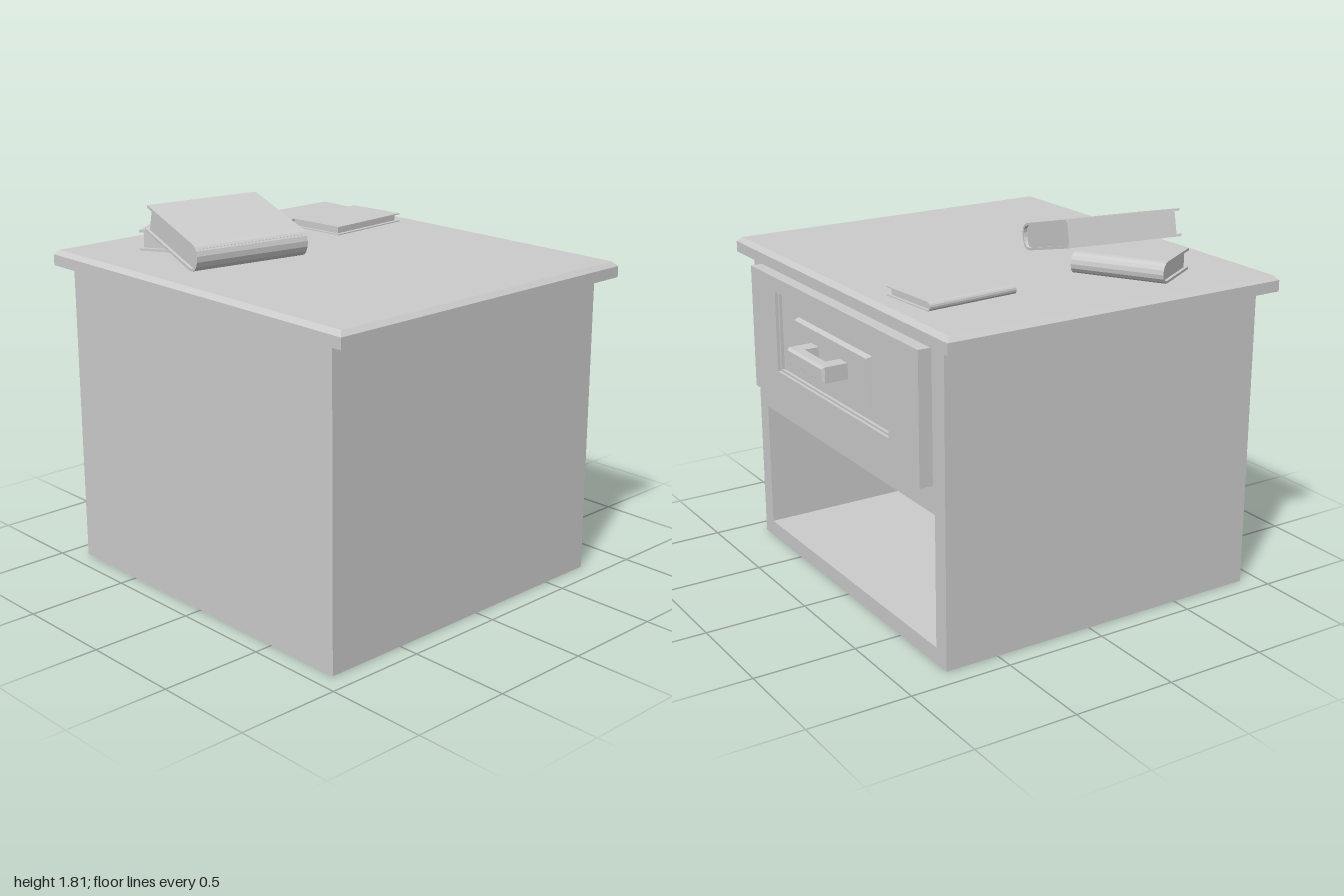
import * as THREE from 'three';

const material = new THREE.MeshStandardMaterial({ color: 0xcccccc, flatShading: true });

function add(parent, name, geometry) {
  const mesh = new THREE.Mesh(geometry, material);
  mesh.name = name;
  parent.add(mesh);
  return mesh;
}

// Box given by its lower and upper corners
function box(x0, x1, y0, y1, z0, z1) {
  return new THREE.BoxGeometry(x1 - x0, y1 - y0, z1 - z0)
    .translate((x0 + x1) / 2, (y0 + y1) / 2, (z0 + z1) / 2);
}

// Box whose face at the far end of one axis is drawn in on the other two
function taperedBox(axis, inset, ...bounds) {
  const geometry = box(...bounds);
  const p = geometry.attributes.position;
  const end = bounds[axis * 2 + 1];
  for (let i = 0; i < p.count; i++) {
    if (Math.abs(p.getComponent(i, axis) - end) > 1e-4) continue;
    for (let a = 0; a < 3; a++) {
      if (a === axis) continue;
      const mid = (bounds[a * 2] + bounds[a * 2 + 1]) / 2;
      const v = p.getComponent(i, a);
      p.setComponent(i, a, v - Math.sign(v - mid) * inset);
    }
  }
  geometry.computeVertexNormals();
  return geometry;
}

function rectangle(w, y0, y1, Type = THREE.Shape) {
  return new Type([[-w, y0], [w, y0], [w, y1], [-w, y1]].map(([x, y]) => new THREE.Vector2(x, y)));
}

// Extrudes a profile along x; the profile's own x becomes -z
function extrudeX(shape, x0, x1) {
  return new THREE.ExtrudeGeometry(shape, { depth: x1 - x0, bevelEnabled: false, curveSegments: 4 })
    .rotateY(Math.PI / 2).translate(x0, 0, 0);
}

function frame(outer, inner, x0, x1) {
  const shape = rectangle(...outer);
  shape.holes.push(rectangle(...inner, THREE.Path));
  return extrudeX(shape, x0, x1);
}

// Book with a rounded spine at local z = 0 and pages running towards -z
function createBook(name, length, depth, thickness, cover) {
  const book = new THREE.Group();
  book.name = name;
  const h = thickness / 2, r = Math.min(0.06, thickness * 0.55);
  const i = h - cover;
  const s = new THREE.Shape();
  s.moveTo(depth, h);
  s.lineTo(r, h);
  s.bezierCurveTo(r * 0.4, h, 0, h * 0.6, 0, 0);
  s.bezierCurveTo(0, -h * 0.6, r * 0.4, -h, r, -h);
  s.lineTo(depth, -h);
  s.lineTo(depth, -i);
  s.lineTo(r, -i);
  s.bezierCurveTo(r * 0.5, -i, cover, -i * 0.6, cover, 0);
  s.bezierCurveTo(cover, i * 0.6, r * 0.5, i, r, i);
  s.lineTo(depth, i);
  add(book, 'cover', extrudeX(s, -length / 2, length / 2));
  const p = length / 2 - 0.015;
  add(book, 'pages', box(-p, p, -i, i, -depth + 0.02, -cover * 2));
  book.rotation.order = 'YXZ';
  return book;
}

export function createModel() {
  const model = new THREE.Group();
  model.name = 'nightstand';

  // Cabinet with an open shelf
  const cabinet = new THREE.Group();
  cabinet.name = 'cabinet';
  model.add(cabinet);
  add(cabinet, 'carcass', frame([0.9, 0, 1.48], [0.815, 0.08, 0.71], -0.83, 0.765));
  add(cabinet, 'backPanel', box(-0.91, -0.83, 0, 1.48, -0.9, 0.9));

  // Table top with a chamfered upper edge
  add(model, 'topEdge', box(-0.955, 0.81, 1.48, 1.533, -1, 1));
  add(model, 'topSurface', taperedBox(1, 0.022, -0.955, 0.81, 1.533, 1.555, -1, 1));

  // Drawer front: recessed field with a raised panel
  const drawer = new THREE.Group();
  drawer.name = 'drawer';
  model.add(drawer);
  add(drawer, 'drawerBoard', box(0.765, 0.8, 0.84, 1.455, -0.8, 0.8));
  add(drawer, 'drawerInnerLip', frame([0.8, 0.84, 1.455], [0.53, 0.995, 1.375], 0.8, 0.815));
  add(drawer, 'drawerFrame', frame([0.8, 0.84, 1.455], [0.542, 0.985, 1.385], 0.815, 0.83));
  add(drawer, 'raisedPanel', taperedBox(0, 0.008, 0.8, 0.828, 1.07, 1.3, -0.355, 0.355));

  // Handle
  const handle = new THREE.Group();
  handle.name = 'handle';
  drawer.add(handle);
  for (const side of [-1, 1]) {
    add(handle, 'handlePost', box(0.82, 0.9, 1.15, 1.225, side * 0.14 - 0.037, side * 0.14 + 0.037));
  }
  add(handle, 'handleBar', box(0.9, 0.942, 1.15, 1.225, -0.177, 0.177));
  add(handle, 'handleFace', taperedBox(0, 0.01, 0.942, 0.955, 1.15, 1.225, -0.177, 0.177));

  // Books: a thick one leaning on a smaller one, and a thin one apart
  const leaning = createBook('leaningBook', 0.585, 0.49, 0.13, 0.012);
  leaning.position.set(-0.515, 1.622, -0.045);
  leaning.rotation.set(0.25, -0.16, 0);
  const lower = createBook('lowerBook', 0.445, 0.33, 0.1, 0.012);
  lower.position.set(-0.275, 1.607, -0.675);
  lower.rotation.y = 2.115;
  const thin = createBook('thinBook', 0.46, 0.33, 0.042, 0.005);
  thin.position.set(0.455, 1.577, -0.64);
  thin.rotation.y = -3.07;
  model.add(leaning, lower, thin);

  return model;
}
